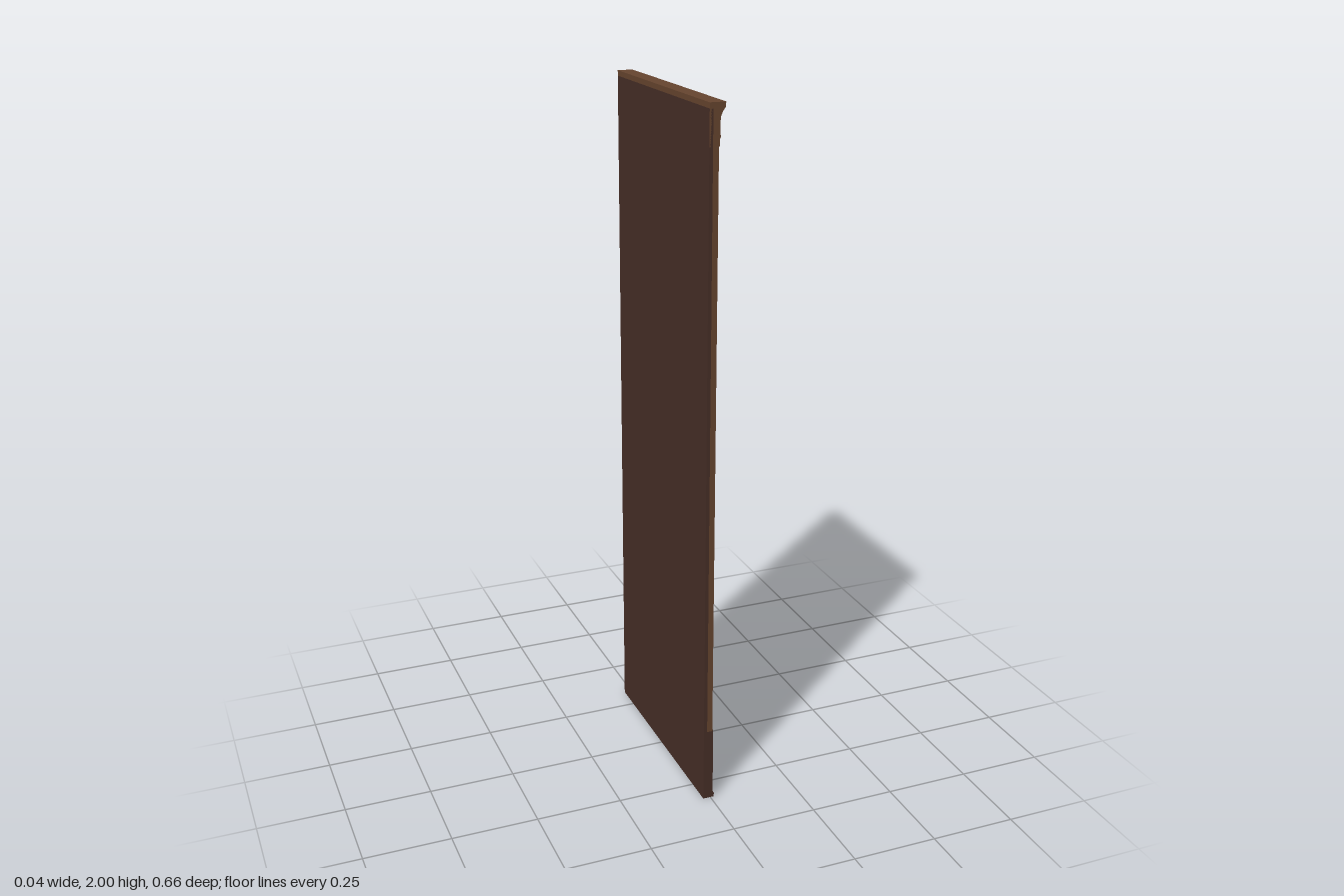
import * as THREE from 'three';

const mat = (name, color) => {
  const m = new THREE.MeshStandardMaterial({ color });
  m.name = name;
  return m;
};

export function createModel() {
  const walnut = mat('walnut', 0x67452f);
  const darkWalnut = mat('dark walnut', 0x472f27);
  const brass = mat('brass', 0xb08a48);
  const black = mat('black', 0x111111);

  const model = new THREE.Group();
  model.name = 'wallPanel';
  const add = (name, geometry, material) => {
    const mesh = new THREE.Mesh(geometry, material);
    mesh.name = name;
    model.add(mesh);
    return mesh;
  };
  // Box given by its limits on each axis
  const box = (name, material, x0, x1, y0, y1, z0, z1) => {
    const g = new THREE.BoxGeometry(x1 - x0, y1 - y0, z1 - z0);
    g.translate((x0 + x1) / 2, (y0 + y1) / 2, (z0 + z1) / 2);
    return add(name, g, material);
  };
  // Side profile (x, y) run across the full width
  const run = (name, material, profile) => {
    const shape = new THREE.Shape(profile.map(([x, y]) => new THREE.Vector2(x, y)));
    const g = new THREE.ExtrudeGeometry(shape, { depth: 0.66, bevelEnabled: false });
    g.translate(0, 0, -0.33);
    return add(name, g, material);
  };
  // Mitred rectangular moulding: steps of [inset, x], facing +x
  const moulding = (name, material, y0, y1, halfWidth, steps, closed = false) => {
    const rings = steps.map(([d, x]) => {
      const w = halfWidth - d;
      return [[x, y0 + d, w], [x, y0 + d, -w], [x, y1 - d, -w], [x, y1 - d, w]];
    });
    const p = [];
    const quad = (a, b, c, d) => p.push(...a, ...b, ...c, ...a, ...c, ...d);
    for (let i = 0; i < rings.length - 1; i++) {
      for (let k = 0; k < 4; k++) {
        const n = (k + 1) % 4;
        quad(rings[i][k], rings[i][n], rings[i + 1][n], rings[i + 1][k]);
      }
    }
    if (closed) quad(...rings[rings.length - 1]);
    const g = new THREE.BufferGeometry();
    g.setAttribute('position', new THREE.Float32BufferAttribute(p, 3));
    g.computeVertexNormals();
    return add(name, g, material);
  };

  // Backing board
  box('backing', darkWalnut, -0.022, -0.012, 0, 1.985, -0.33, 0.33);

  // Rails and stiles around the two panels
  const face = -0.002;
  for (const [y0, y1] of [[0.2, 0.26], [0.945, 1.045], [1.825, 1.9]]) {
    box('rail', darkWalnut, -0.012, face, y0, y1, -0.287, 0.287);
  }
  for (const s of [-1, 1]) {
    const strip = (name, m, x, a, b, y0, y1) =>
      box(name, m, -0.012, x, y0, y1, Math.min(s * a, s * b), Math.max(s * a, s * b));
    strip('stile', darkWalnut, face, 0.26, 0.287, 0.26, 1.825);
    // Fluted pilaster at each edge
    strip('pilasterOuter', walnut, 0.004, 0.315, 0.33, 0.22, 1.9);
    strip('pilasterFlute', darkWalnut, -0.003, 0.31, 0.315, 0.22, 1.9);
    strip('pilasterInner', walnut, 0.004, 0.296, 0.31, 0.22, 1.9);
    strip('pilasterGroove', darkWalnut, -0.006, 0.287, 0.296, 0.22, 1.9);
  }

  // Two framed panels with bevelled borders
  for (const [y0, y1] of [[1.045, 1.825], [0.26, 0.945]]) {
    moulding('panelMoulding', darkWalnut, y0, y1, 0.262,
      [[0, face], [0.002, 0.003], [0.007, 0.003], [0.01, -0.003]]);
    moulding('panelBevel', walnut, y0, y1, 0.262, [[0.01, -0.003], [0.042, -0.008]]);
    moulding('panelField', walnut, y0, y1, 0.262, [[0.042, -0.008]], true);
  }

  // Plinth with a small projecting foot
  run('plinth', darkWalnut, [
    [-0.02, 0], [0.011, 0], [0.011, 0.012], [0.007, 0.02],
    [0.007, 0.222], [0.003, 0.23], [-0.02, 0.23],
  ]);

  // Crown moulding
  run('crown', walnut, [
    [-0.022, 1.89], [0.006, 1.89], [0.006, 1.908], [0.009, 1.914], [0.007, 1.925],
    [0.007, 1.95], [0.009, 1.965], [0.014, 1.977], [0.02, 1.985], [0.022, 1.988],
    [0.022, 2], [-0.022, 2],
  ]);

  // Round rosette on the crown
  const rosette = new THREE.Group();
  rosette.name = 'rosette';
  rosette.position.set(0.008, 1.94, 0.003);
  rosette.rotation.y = Math.PI / 2;
  const ring = new THREE.Mesh(new THREE.TorusGeometry(0.019, 0.004, 8, 28), walnut);
  ring.name = 'rosetteRing';
  const boss = new THREE.Mesh(new THREE.SphereGeometry(0.011, 18, 10), walnut);
  boss.name = 'rosetteBoss';
  boss.scale.z = 0.5;
  rosette.add(ring, boss);
  model.add(rosette);

  // Brass slot: dark recess inside a raised frame
  box('slotRecess', black, face, 0, 0.98, 1.02, -0.066, 0.055);
  box('slotFrameTop', brass, face, 0.005, 1.017, 1.026, -0.07, 0.07);
  box('slotFrameBottom', brass, face, 0.005, 0.974, 0.983, -0.07, 0.07);
  box('slotFrameLeft', brass, face, 0.005, 0.983, 1.017, 0.052, 0.07);
  box('slotFrameRight', brass, face, 0.005, 0.983, 1.017, -0.07, -0.063);

  return model;
}
